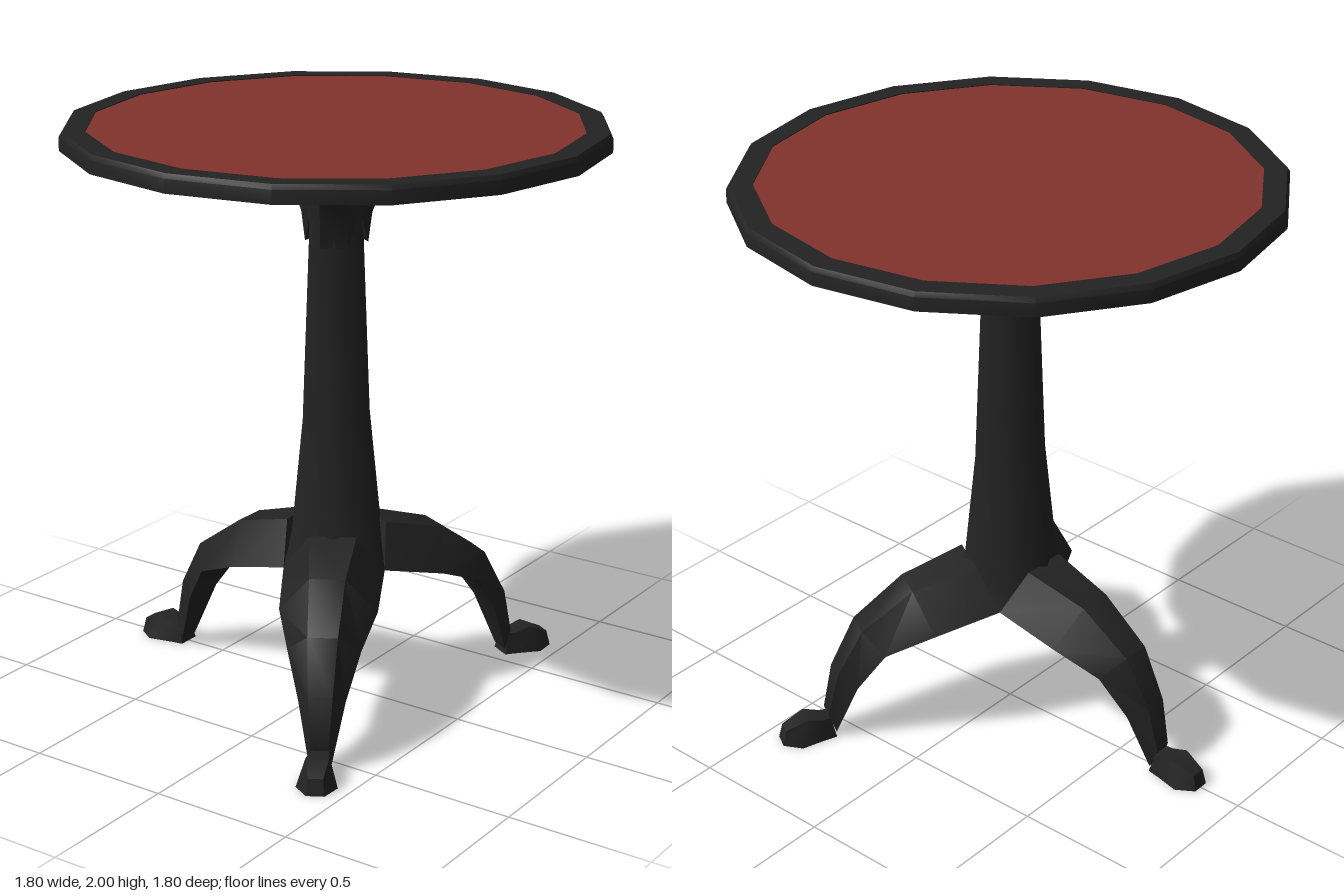
import * as THREE from 'three';
import { toCreasedNormals } from 'three/addons/utils/BufferGeometryUtils.js';

const darkWood = new THREE.MeshStandardMaterial({ color: 0x232323 });
const redInlay = new THREE.MeshStandardMaterial({ color: 0x82332d, side: THREE.DoubleSide });
darkWood.name = 'darkWood';
redInlay.name = 'redInlay';

// Lofts trapezoid sections running along +x.
// Each section: [lower r, lower y, lower half width, upper r, upper y, upper half width]
function loft(sections, crease = 0.9) {
  const rings = sections.map(([lr, ly, lw, ur, uy, uw]) => [
    [lr, ly, -lw], [lr, ly, lw], [ur, uy, uw], [ur, uy, -uw],
  ]);
  const pos = [];
  const quad = (a, b, c, d) => [a, b, c, a, c, d].forEach((p) => pos.push(...p));
  for (let i = 0; i < rings.length - 1; i++) {
    for (let j = 0; j < 4; j++) {
      const k = (j + 1) % 4;
      quad(rings[i][j], rings[i + 1][j], rings[i + 1][k], rings[i][k]);
    }
  }
  quad(...rings[0]);
  quad(...rings[rings.length - 1].slice().reverse());
  const g = new THREE.BufferGeometry();
  g.setAttribute('position', new THREE.Float32BufferAttribute(pos, 3));
  return toCreasedNormals(g, crease);
}

// Turned part with a corner on the x axis
function turned(profile, sides, crease) {
  const pts = profile.map(([r, y]) => new THREE.Vector2(r, y));
  return toCreasedNormals(new THREE.LatheGeometry(pts, sides, Math.PI / 2), crease);
}

function add(parent, name, geometry, material) {
  const mesh = new THREE.Mesh(geometry, material);
  mesh.name = name;
  parent.add(mesh);
  return mesh;
}

export function createModel() {
  const table = new THREE.Group();
  table.name = 'tripodTable';

  // Table top: rim ring with a thin inlay set level with its upper edge
  add(table, 'topRim', turned([
    [0.815, 1.94], [0.9, 1.94], [0.9, 1.985], [0.89, 2], [0.815, 2], [0.815, 1.94],
  ], 16, 0.6), darkWood);
  const inlay = add(table, 'topInlay', new THREE.CircleGeometry(0.82, 16), redInlay);
  inlay.rotation.x = -Math.PI / 2;
  inlay.position.y = 1.997;

  // Six-sided column
  add(table, 'column', turned([
    [0, 0.475], [0.2, 0.475], [0.185, 0.53], [0.167, 0.61],
    [0.125, 1], [0.1, 1.61], [0.1, 1.735], [0, 1.74],
  ], 6, 1.1), darkWood);

  const legGeometry = loft([
    [0.1, 0.475, 0.173, 0.15, 0.612, 0.08],
    [0.33, 0.42, 0.165, 0.375, 0.55, 0.06],
    [0.495, 0.35, 0.122, 0.555, 0.42, 0.05],
    [0.585, 0.21, 0.078, 0.645, 0.25, 0.04],
    [0.655, 0.02, 0.038, 0.68, 0.09, 0.03],
  ]);
  const footGeometry = loft([
    [0.655, 0, 0.04, 0.672, 0.075, 0.03],
    [0.71, 0, 0.05, 0.7, 0.075, 0.033],
    [0.785, 0, 0.068, 0.755, 0.09, 0.038],
    [0.845, 0, 0.03, 0.832, 0.055, 0.025],
  ]);
  const armGeometry = loft([
    [0.095, 1.6, 0.045, 0.05, 1.7, 0.08],
    [0.11, 1.7, 0.045, 0.05, 1.74, 0.086],
    [0.165, 1.81, 0.043, 0.11, 1.87, 0.08],
    [0.32, 1.87, 0.04, 0.29, 1.94, 0.075],
    [0.5, 1.897, 0.036, 0.43, 1.99, 0.06],
    [0.82, 1.945, 0.025, 0.82, 1.99, 0.035],
  ]);

  // Three legs with feet, and three arms above them
  [1, 3, 5].forEach((n) => {
    const side = new THREE.Group();
    side.name = 'legAndArm';
    side.rotation.y = (n * Math.PI) / 3;
    add(side, 'leg', legGeometry, darkWood);
    add(side, 'foot', footGeometry, darkWood);
    add(side, 'arm', armGeometry, darkWood);
    table.add(side);
  });

  return table;
}
